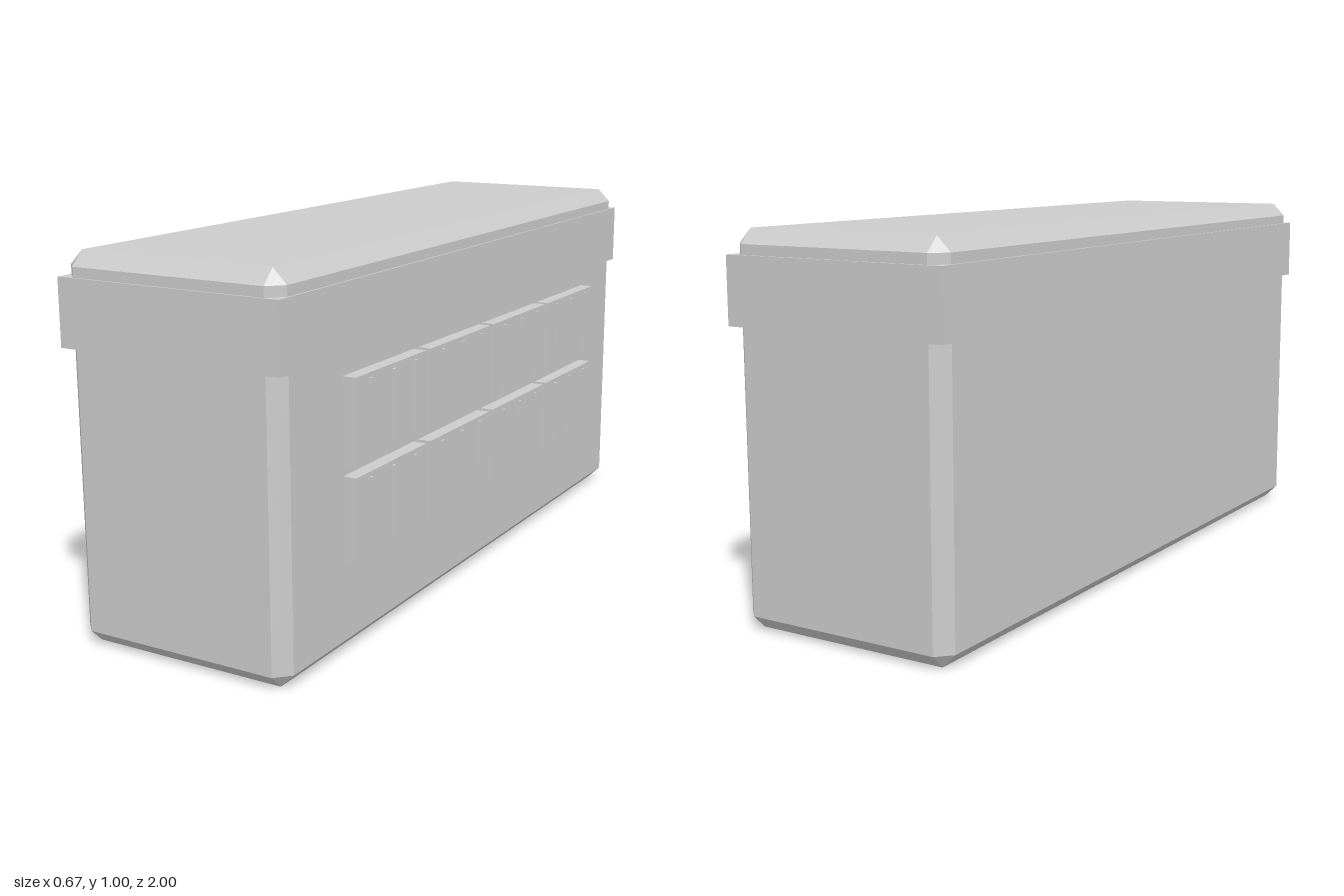
import * as THREE from 'three';
import { ConvexGeometry } from 'three/addons/geometries/ConvexGeometry.js';

const material = new THREE.MeshStandardMaterial({ color: 0xcccccc, flatShading: true });

// Box with every edge cut by a single flat chamfer, centred on the origin
function chamferedBox(width, height, depth, cut) {
  const half = [width / 2, height / 2, depth / 2];
  const points = [];
  for (const sx of [-1, 1]) for (const sy of [-1, 1]) for (const sz of [-1, 1]) {
    for (let outer = 0; outer < 3; outer++) {
      const c = half.map((h, axis) => (axis === outer ? h : h - cut));
      points.push(new THREE.Vector3(sx * c[0], sy * c[1], sz * c[2]));
    }
  }
  return new ConvexGeometry(points);
}

// Box mesh given by its lower and upper limits on each axis
function box(name, [x0, x1], [y0, y1], [z0, z1]) {
  const mesh = new THREE.Mesh(new THREE.BoxGeometry(x1 - x0, y1 - y0, z1 - z0), material);
  mesh.position.set((x0 + x1) / 2, (y0 + y1) / 2, (z0 + z1) / 2);
  mesh.name = name;
  return mesh;
}

export function createModel() {
  const model = new THREE.Group();
  model.name = 'chamferedCase';

  // Main body
  const body = new THREE.Mesh(chamferedBox(0.62, 0.996, 1.988, 0.037), material);
  body.name = 'body';
  body.position.set(-0.02, 0.498, 0.001);
  model.add(body);

  // Raised band around the upper edge
  model.add(box('rimBand', [-0.337, 0.295], [0.76, 0.933], [-1, 1]));

  // Two rows of four ribbed panels on the left side
  const panels = new THREE.Group();
  panels.name = 'sidePanels';
  for (const y of [0.351, 0.598]) {
    for (let column = 0; column < 4; column++) {
      const z = (column - 1.5) * 0.373 - 0.002;
      const panel = new THREE.Group();
      panel.name = 'ribbedPanel';
      panel.add(box('panelPlate', [0.28, 0.327], [y - 0.111, y + 0.111], [z - 0.175, z + 0.175]));
      for (const offset of [-0.113, -0.002, 0.109]) {
        const rz = z + offset;
        panel.add(box('panelRib', [0.32, 0.334], [y - 0.099, y + 0.099], [rz - 0.006, rz + 0.006]));
      }
      panels.add(panel);
    }
  }
  model.add(panels);

  return model;
}
